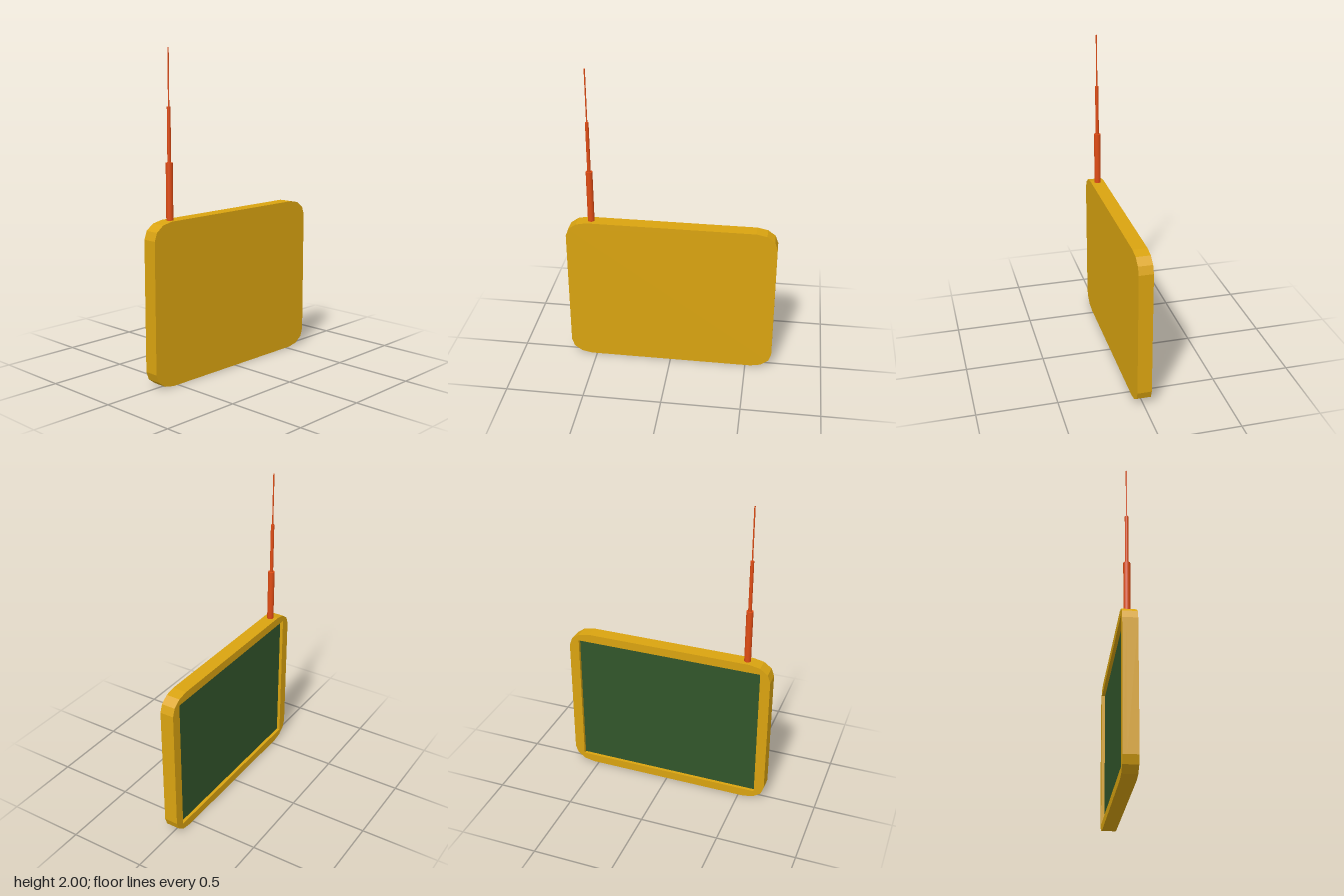
import * as THREE from 'three';

const W = 0.67, H = 1, D = 0.045;        // half width, height, half depth
const SW = 0.605, S0 = 0.055, S1 = 0.945; // screen opening
const SCREEN_Z = -0.02;

function material(name, color, flatShading = false) {
  const m = new THREE.MeshStandardMaterial({ color, flatShading });
  m.name = name;
  return m;
}

// Outline with faceted, slightly wide corners
function outline() {
  const rx = 0.135, ry = 0.1, pts = [];
  [[1, 1], [-1, 1], [-1, -1], [1, -1]].forEach(([sx, sy], q) => {
    for (let i = 0; i <= 3; i++) {
      const a = (q * 3 + i) * Math.PI / 6;
      pts.push(new THREE.Vector2(sx * (W - rx) + rx * Math.cos(a),
        H / 2 + sy * (H / 2 - ry) + ry * Math.sin(a)));
    }
  });
  return new THREE.Shape(pts);
}

function slab(shape, z0, z1) {
  return new THREE.ExtrudeGeometry(shape, { depth: z1 - z0, bevelEnabled: false }).translate(0, 0, z0);
}

export function createModel() {
  const group = new THREE.Group();
  group.name = 'tablet';
  const gold = material('gold casing', 0xd9a310, true);
  const green = material('dark green screen', 0x31552a);
  const orange = material('orange antenna', 0xe04c14);

  const add = (name, geometry, mat) => {
    const mesh = new THREE.Mesh(geometry, mat);
    mesh.name = name;
    group.add(mesh);
    return mesh;
  };

  // Solid casing on the front, open frame on the back
  add('casing', slab(outline(), SCREEN_Z, D), gold);
  const frame = outline();
  frame.holes.push(new THREE.Path([
    new THREE.Vector2(-SW, S0), new THREE.Vector2(-SW, S1),
    new THREE.Vector2(SW, S1), new THREE.Vector2(SW, S0),
  ]));
  add('screenFrame', slab(frame, -D, SCREEN_Z), gold);

  // Recessed screen
  add('screen', new THREE.BoxGeometry(SW * 2, S1 - S0, 0.004), green)
    .position.set(0, (S0 + S1) / 2, SCREEN_Z - 0.002);

  // Telescopic antenna: [radius, bottom, top]
  [[0.021, 0.99, 1.34], [0.011, 1.34, 1.665], [0.004, 1.665, 2]].forEach(([r, y0, y1], i) => {
    add('antennaSection' + (i + 1), new THREE.CylinderGeometry(r, r, y1 - y0, 20), orange)
      .position.set(-0.51, (y0 + y1) / 2, 0);
  });
  return group;
}
